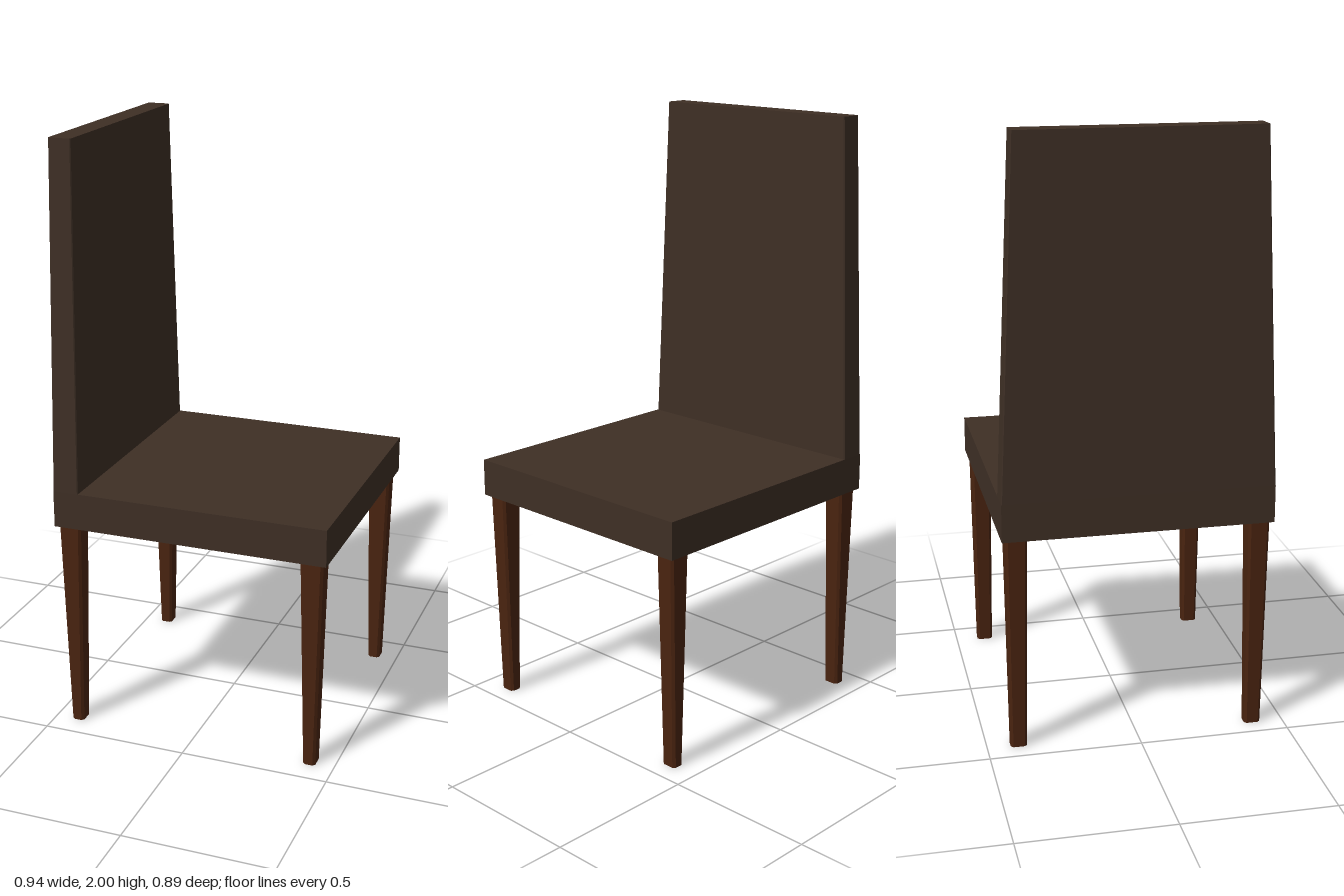
import * as THREE from 'three';

const upholstery = new THREE.MeshStandardMaterial({ name: 'dark upholstery', color: 0x3e2f25 });
const wood = new THREE.MeshStandardMaterial({ name: 'reddish wood', color: 0x4a2410 });

// Tapered block from cross-sections [y, x0, x1, z0, z1], with chamfered vertical edges
function taperedBlock(bottom, top, chamfer) {
  const ring = ([y, x0, x1, z0, z1]) => {
    const c = chamfer;
    return [
      [x0 + c, z1], [x1 - c, z1], [x1, z1 - c], [x1, z0 + c],
      [x1 - c, z0], [x0 + c, z0], [x0, z0 + c], [x0, z1 - c],
    ].map(([x, z]) => [x, y, z]);
  };
  const a = ring(bottom), b = ring(top), pos = [];
  const n = a.length;
  for (let i = 0; i < n; i++) {
    const j = (i + 1) % n;
    pos.push(...a[i], ...a[j], ...b[j], ...a[i], ...b[j], ...b[i]);
    if (i > 0 && i < n - 1) {
      pos.push(...b[0], ...b[i], ...b[j]);
      pos.push(...a[0], ...a[j], ...a[i]);
    }
  }
  const geo = new THREE.BufferGeometry();
  geo.setAttribute('position', new THREE.Float32BufferAttribute(pos, 3));
  geo.computeVertexNormals();
  return geo;
}

export function createModel() {
  const chair = new THREE.Group();
  chair.name = 'chair';
  const add = (name, geo, material) => {
    const mesh = new THREE.Mesh(geo, material);
    mesh.name = name;
    chair.add(mesh);
    return mesh;
  };

  // Padded seat with a bare wooden underside
  const u = upholstery;
  add('seat', new THREE.BoxGeometry(0.936, 0.125, 0.886), [u, u, u, wood, u, u])
    .position.y = 0.79;

  // Tall backrest, narrowing towards the top
  add('backrest', taperedBlock(
    [0.852, -0.468, -0.38, -0.443, 0.443],
    [2, -0.463, -0.387, -0.392, 0.392], 0.003), upholstery);

  // Four tapered legs
  for (const [end, x] of [['back', -0.42], ['front', 0.416]]) {
    for (const [side, z] of [['Left', 0.396], ['Right', -0.396]]) {
      add(end + side + 'Leg', taperedBlock(
        [0, x - 0.021, x + 0.021, z - 0.027, z + 0.027],
        [0.729, x - 0.038, x + 0.038, z - 0.035, z + 0.035], 0.008), wood);
    }
  }
  return chair;
}
